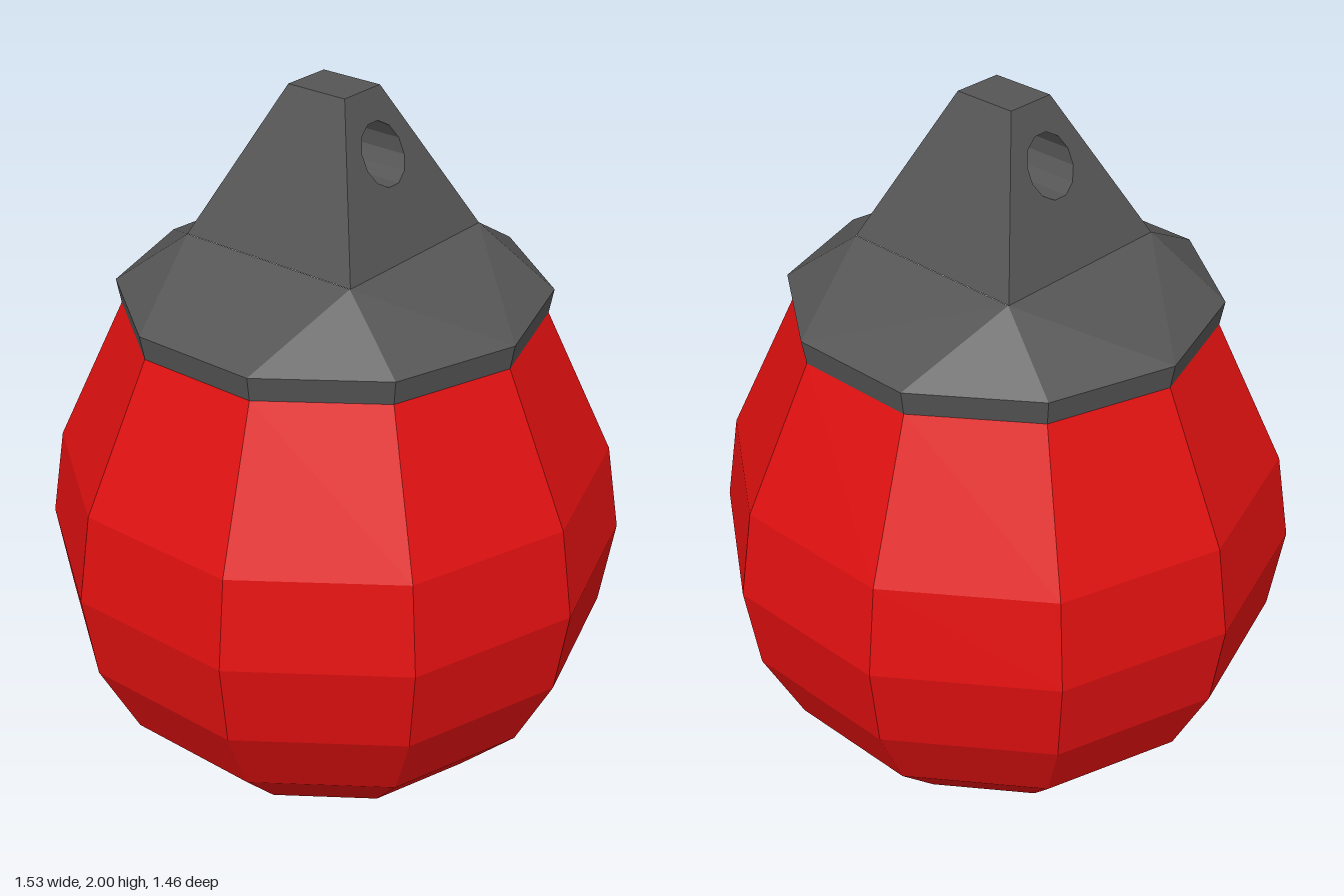
import * as THREE from 'three';

const SIDES = 10;

// Ten-sided turned shape with a corner on the x axis
function turned(profile) {
  const points = profile.map(([r, y]) => new THREE.Vector2(r, y));
  return new THREE.LatheGeometry(points, SIDES, Math.PI / 2);
}

// Sloping shoulder that joins the ten-sided collar to the square lug foot
function shoulderGeometry(radius, y0, half, y1) {
  const rim = Array.from({ length: SIDES }, (_, i) => {
    const a = (i / SIDES) * Math.PI * 2;
    return [radius * Math.cos(a), y0, radius * Math.sin(a)];
  });
  const foot = [[1, 1], [-1, 1], [-1, -1], [1, -1]].map(([x, z]) => [x * half, y1, z * half]);
  const cornerOfEdge = [0, 0, 0, 1, 1, 2, 2, 2, 3, 3];
  const positions = [];
  for (let i = 0; i < SIDES; i++) {
    const next = (i + 1) % SIDES;
    const c = cornerOfEdge[i], d = cornerOfEdge[next];
    positions.push(...rim[next], ...rim[i], ...foot[c]);
    if (c !== d) positions.push(...rim[next], ...foot[c], ...foot[d]);
  }
  const geometry = new THREE.BufferGeometry();
  geometry.setAttribute('position', new THREE.Float32BufferAttribute(positions, 3));
  geometry.computeVertexNormals();
  return geometry;
}

// Tapered lug, pierced from side to side
function lugGeometry(y0, y1) {
  const shape = new THREE.Shape([[-0.26, y0], [0.26, y0], [0.068, y1], [-0.068, y1]]
    .map(([x, y]) => new THREE.Vector2(x, y)));
  const hole = Array.from({ length: 12 }, (_, i) => {
    const a = ((i + 0.5) / 12) * Math.PI * 2;
    return new THREE.Vector2(0.075 * Math.cos(a), 1.857 + 0.075 * Math.sin(a));
  });
  shape.holes.push(new THREE.Path(hole));
  const geometry = new THREE.ExtrudeGeometry(shape, { depth: 2, bevelEnabled: false });
  geometry.translate(0, 0, -1).rotateY(Math.PI / 2);
  // Narrow the sides towards the top
  const p = geometry.attributes.position;
  for (let i = 0; i < p.count; i++) {
    const t = (p.getY(i) - y0) / (y1 - y0);
    p.setX(i, Math.sign(p.getX(i)) * THREE.MathUtils.lerp(0.262, 0.088, t));
  }
  geometry.computeVertexNormals();
  return geometry;
}

export function createModel() {
  const red = new THREE.MeshStandardMaterial({ name: 'red', color: 0xe01010, flatShading: true });
  const grey = new THREE.MeshStandardMaterial({ name: 'dark grey', color: 0x555555, flatShading: true });

  const group = new THREE.Group();
  group.name = 'buoy';
  const add = (name, geometry, material) => {
    const mesh = new THREE.Mesh(geometry, material);
    mesh.name = name;
    group.add(mesh);
  };

  // Float
  add('float', turned([
    [0, 0], [0.237, 0.04], [0.451, 0.15], [0.62, 0.32], [0.73, 0.535],
    [0.767, 0.77], [0.73, 1.01], [0.55, 1.402],
  ]), red);

  // Cap
  add('collar', turned([[0.55, 1.402], [0.562, 1.467]]), grey);
  add('shoulder', shoulderGeometry(0.562, 1.467, 0.261, 1.622), grey);
  add('lug', lugGeometry(1.622, 2), grey);

  return group;
}
